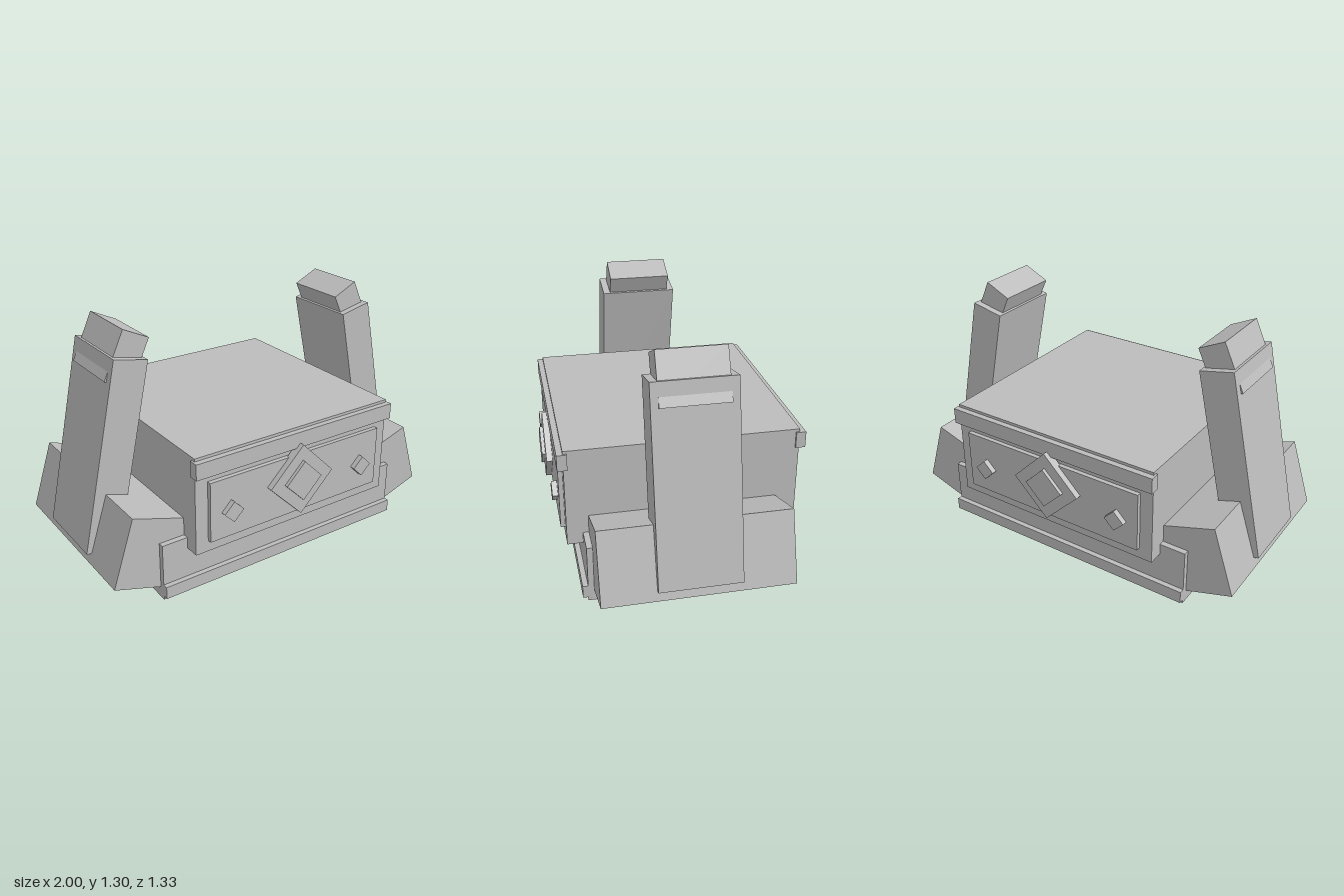
import * as THREE from 'three';

export function createModel() {
  const model = new THREE.Group();
  const stone = new THREE.MeshStandardMaterial({ color: 0xbcbcbc });
  stone.name = 'plainGrey';

  const add = (name, geometry, x = 0, y = 0, z = 0) => {
    const mesh = new THREE.Mesh(geometry, stone);
    mesh.name = name;
    mesh.position.set(x, y, z);
    model.add(mesh);
    return mesh;
  };

  // Axis-aligned block, symmetric in x, from y0 to y1 and z0 to z1
  const block = (name, halfWidth, y0, y1, z0, z1) =>
    add(name, new THREE.BoxGeometry(halfWidth * 2, y1 - y0, z1 - z0), 0, (y0 + y1) / 2, (z0 + z1) / 2);

  // Front-view outline extruded evenly along z, mirrored by side
  const slab = (name, side, points, halfDepth) => {
    const shape = new THREE.Shape(points.map(([x, y]) => new THREE.Vector2(x * side, y)));
    const geometry = new THREE.ExtrudeGeometry(shape, { depth: halfDepth * 2, bevelEnabled: false });
    add(name, geometry.translate(0, 0, -halfDepth));
  };

  // Diamond stud: a square block turned 45 degrees
  const diamond = (name, x, y, halfDiagonal, z0, z1) => {
    const s = halfDiagonal * Math.SQRT2;
    add(name, new THREE.BoxGeometry(s, s, Math.abs(z1 - z0)), x, y, (z0 + z1) / 2).rotation.z = Math.PI / 4;
  };

  // Base and main body
  block('base', 0.74, 0, 0.31, -0.51, 0.51);
  block('body', 0.6, 0.25, 0.775, -0.59, 0.59);

  // Front and back decoration
  for (const [end, f] of [['front', 1], ['back', -1]]) {
    const strip = (name, w, y0, y1, a, b) => block(end + name, w, y0, y1, Math.min(a * f, b * f), Math.max(a * f, b * f));
    strip('BaseLedge', 0.74, 0.02, 0.087, 0.5, 0.537);
    strip('TopTrim', 0.61, 0.675, 0.76, 0.57, 0.62);
    strip('Panel', 0.53, 0.31, 0.635, 0.58, 0.613);
    diamond(end + 'LargeDiamond', 0, 0.505, 0.195, 0.6 * f, 0.645 * f);
    diamond(end + 'InnerDiamond', 0, 0.505, 0.11, 0.63 * f, 0.663 * f);
    for (const x of [-0.41, 0.41]) diamond(end + 'SmallDiamond', x, 0.455, 0.056, 0.6 * f, 0.641 * f);
  }

  // Tilted shoulders, leaning arms and their angled caps
  for (const [name, side] of [['left', 1], ['right', -1]]) {
    slab(name + 'Shoulder', side, [[0.875, 0.495], [0.99, 0.14], [0.65, 0.03], [0.535, 0.385]], 0.48);
    slab(name + 'Arm', side, [[1.0, 0.195], [0.79, 1.18], [0.61, 1.142], [0.82, 0.157]], 0.208);
    slab(name + 'ArmCap', side, [[0.58, 1.237], [0.716, 1.302], [0.826, 1.065], [0.69, 1.0]], 0.17);
  }
  return model;
}
